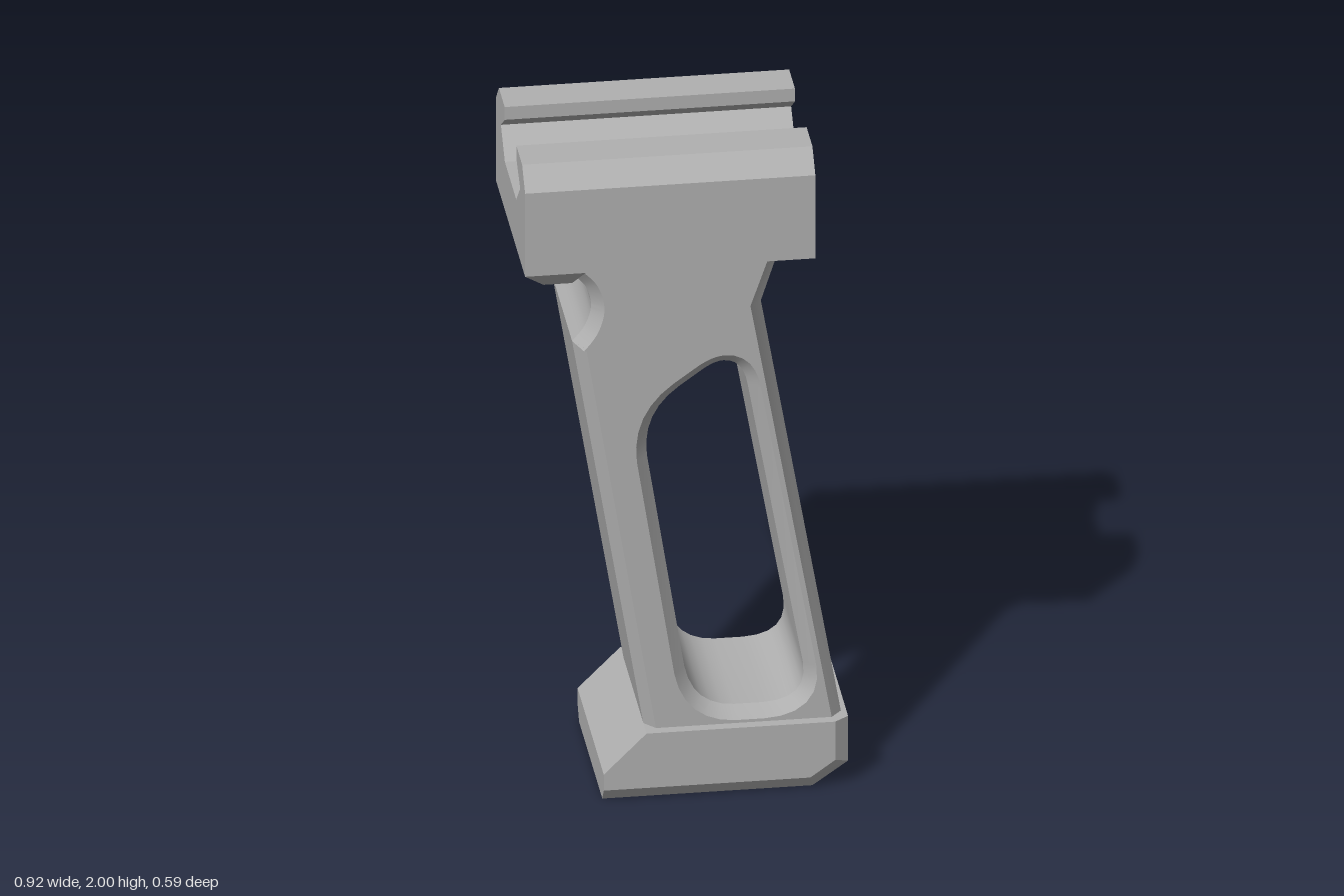
import * as THREE from 'three';
import { toCreasedNormals } from 'three/addons/utils/BufferGeometryUtils.js';
import { ConvexGeometry } from 'three/addons/geometries/ConvexGeometry.js';

const polymer = new THREE.MeshStandardMaterial({ color: 0xb0b0b0 });
polymer.name = 'grey polymer';

const points = (list) => list.map(([x, y]) => new THREE.Vector2(x, y));

function part(name, geometry) {
  const mesh = new THREE.Mesh(geometry, polymer);
  mesh.name = name;
  return mesh;
}

// Convex solid from outlines [x, y] placed at +z and -z
function hull(...layers) {
  const all = [];
  for (const [z, outline] of layers)
    for (const [x, y] of outline) all.push(new THREE.Vector3(x, y, z), new THREE.Vector3(x, y, -z));
  return new ConvexGeometry(all);
}

// Slanted grip: chamfered outline with a thumb scoop and a long window
function gripGeometry() {
  const shape = new THREE.Shape();
  shape.moveTo(-0.115, 0.15);
  shape.lineTo(0.45, 0.15);
  shape.lineTo(0.215, 1.51);
  shape.lineTo(0.309, 1.8);
  shape.lineTo(-0.32, 1.8);
  shape.lineTo(-0.32, 1.635);
  shape.splineThru(points([[-0.278, 1.59], [-0.262, 1.53], [-0.278, 1.47], [-0.315, 1.42]]));
  shape.lineTo(-0.105, 0.15);

  const hole = new THREE.Path();
  hole.moveTo(0.178, 1.25);
  hole.quadraticCurveTo(0.165, 1.33, 0.11, 1.33);
  hole.quadraticCurveTo(0.085, 1.33, 0.05, 1.305);
  hole.lineTo(-0.015, 1.258);
  hole.quadraticCurveTo(-0.12, 1.18, -0.105, 1.05);
  hole.lineTo(0.0, 0.38);
  hole.quadraticCurveTo(0.025, 0.255, 0.14, 0.252);
  hole.lineTo(0.22, 0.252);
  hole.quadraticCurveTo(0.35, 0.255, 0.333, 0.37);
  shape.holes.push(hole);

  const geometry = new THREE.ExtrudeGeometry(shape, {
    depth: 0.4, curveSegments: 6, bevelEnabled: true, bevelSegments: 1,
    bevelSize: 0.033, bevelThickness: 0.035, bevelOffset: -0.033,
  });
  geometry.translate(0, 0, -0.2);
  return toCreasedNormals(geometry, Math.PI / 6);
}

// Rail clamp: channel section swept along x
function clampGeometry() {
  const half = [[0.23, 1.68], [0.23, 1.76], [0.295, 1.76], [0.295, 1.94], [0.235, 2],
    [0.118, 2], [0.118, 1.96], [0.195, 1.905], [0.115, 1.83]];
  const mirrored = half.map(([x, y]) => [-x, y]).reverse();
  const geometry = new THREE.ExtrudeGeometry(new THREE.Shape(points([...half, ...mirrored])),
    { depth: 0.815, bevelEnabled: false });
  geometry.rotateY(Math.PI / 2);
  geometry.translate(-0.46, 0, 0);
  return geometry;
}

// Lower clamp skirt with a trapezoid notch around the grip
function skirtGeometry(side) {
  const outline = [[-0.46, 1.68], [-0.29, 1.68], [-0.245, 1.76], [0.14, 1.76],
    [0.185, 1.68], [0.355, 1.68], [0.355, 1.765], [-0.46, 1.765]];
  const geometry = new THREE.ExtrudeGeometry(new THREE.Shape(points(outline)),
    { depth: 0.07, bevelEnabled: false });
  geometry.translate(0, 0, side > 0 ? 0.225 : -0.295);
  return geometry;
}

export function createModel() {
  const group = new THREE.Group();
  group.name = 'foregrip';

  group.add(part('grip', gripGeometry()));
  group.add(part('railClamp', clampGeometry()));
  group.add(part('leftSkirt', skirtGeometry(1)));
  group.add(part('rightSkirt', skirtGeometry(-1)));

  // Tapered lip under the clamp
  group.add(part('clampLip', hull(
    [0.295, [[-0.46, 1.68], [-0.29, 1.68]]],
    [0.235, [[-0.4, 1.62], [-0.32, 1.62]]],
  )));

  // Foot with chamfers along the bottom and the +x end
  group.add(part('foot', hull(
    [0.265, [[-0.235, 0.04], [-0.235, 0.09], [-0.115, 0.21], [0.415, 0.21], [0.415, 0.09], [0.345, 0.04]]],
    [0.235, [[-0.235, 0], [-0.235, 0.09], [-0.115, 0.21], [0.455, 0.21], [0.455, 0.07], [0.355, 0]]],
  )));

  return group;
}
